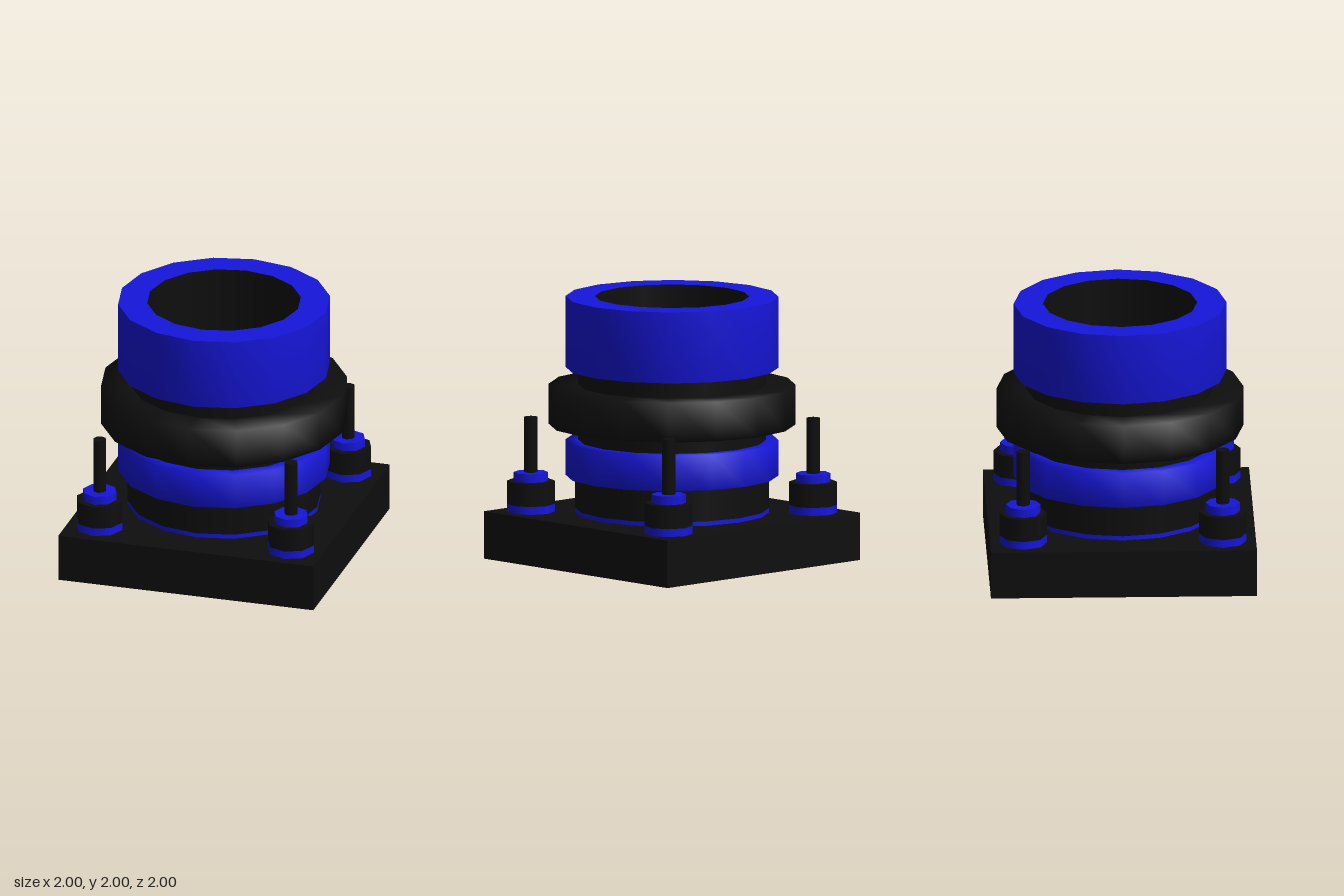
import * as THREE from 'three';
import { mergeGeometries } from 'three/addons/utils/BufferGeometryUtils.js';

const black = new THREE.MeshStandardMaterial({ color: 0x0e0e0e });
const blue = new THREE.MeshStandardMaterial({ color: 0x1616dc });

function addMesh(parent, name, geometry, material, y = 0) {
  const mesh = new THREE.Mesh(geometry, material);
  mesh.name = name;
  mesh.position.y = y;
  parent.add(mesh);
  return mesh;
}

// 16-sided turned part; each profile is smooth, edges between profiles are sharp
function turned(...profiles) {
  return mergeGeometries(profiles.map((points) =>
    new THREE.LatheGeometry(points.map(([r, y]) => new THREE.Vector2(r, y)), 16)));
}

// Low-poly cylinder standing between two heights
function addDisc(parent, name, radius, y0, y1, material) {
  addMesh(parent, name, new THREE.CylinderGeometry(radius, radius, y1 - y0, 8), material, (y0 + y1) / 2);
}

export function createModel() {
  const model = new THREE.Group();
  model.name = 'flangedPipeMount';

  // Square base plate
  addMesh(model, 'basePlate', new THREE.BoxGeometry(2, 0.36, 2), black, 0.18);

  // Thin gasket and lower collar on the plate
  addMesh(model, 'gasket', turned([[0.73, 0.36], [0.73, 0.393]]), blue);
  addMesh(model, 'lowerCollar', turned([[0.73, 0.393], [0.73, 0.64]]), black);

  // Lower band with softened shading
  addMesh(model, 'lowerBand', turned([[0.7, 0.64], [0.8, 0.64], [0.8, 0.91], [0.7, 0.91]]), blue);

  // Neck, wide flange and bore
  addMesh(model, 'neck', turned([[0.706, 0.91], [0.706, 1.46]]), black);
  addMesh(model, 'flange', turned([[0.7, 1.03], [0.93, 1.03], [0.93, 1.33], [0.7, 1.33]]), black);
  addMesh(model, 'bore', turned([[0.58, 2], [0.58, 0.36]]), black);

  // Top sleeve with a flat rim
  addMesh(model, 'topSleeve', turned(
    [[0.7, 1.46], [0.8, 1.46], [0.8, 2]],
    [[0.8, 2], [0.58, 2]],
  ), blue);

  // Corner bolts: washer, nut, cap and stud
  for (const x of [-0.75, 0.75]) {
    for (const z of [-0.75, 0.75]) {
      const bolt = new THREE.Group();
      bolt.name = `${z > 0 ? 'front' : 'back'}${x > 0 ? 'Left' : 'Right'}Bolt`;
      bolt.position.set(x, 0, z);
      addDisc(bolt, 'washer', 0.18, 0.36, 0.42, blue);
      addDisc(bolt, 'nut', 0.18, 0.42, 0.595, black);
      addDisc(bolt, 'nutCap', 0.13, 0.595, 0.66, blue);
      addDisc(bolt, 'stud', 0.05, 0.66, 1.08, black);
      model.add(bolt);
    }
  }
  return model;
}
